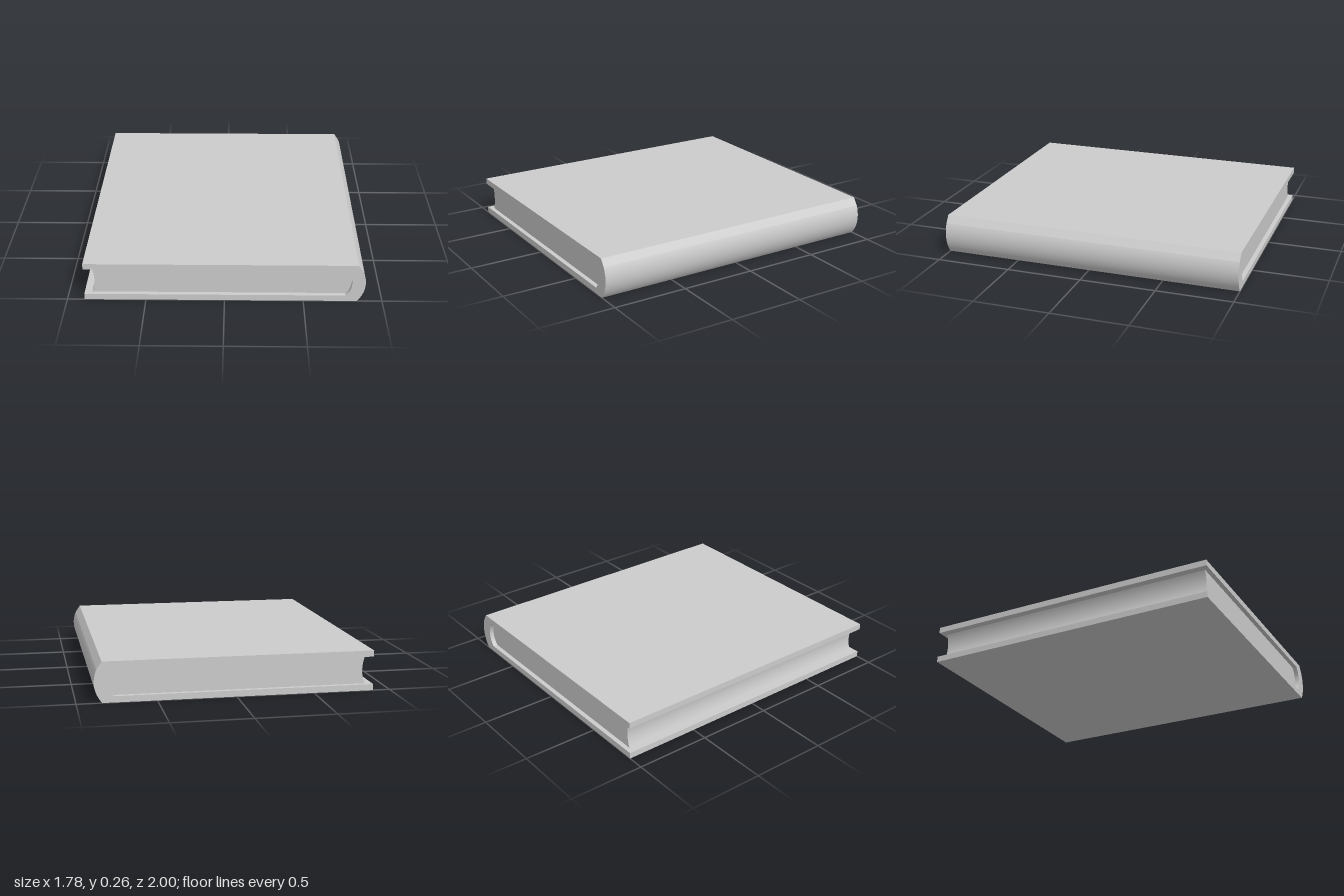
import * as THREE from 'three';
import { toCreasedNormals } from 'three/addons/utils/BufferGeometryUtils.js';

const HEIGHT = 0.26, BOARD = 0.04, HALF_LENGTH = 1, PAGE_INSET = 0.03;

// Points on a shallow arc between heights y0 and y1, bulging by `bulge` from x at mid height.
function arc(x, bulge, y0, y1, steps) {
  const mid = (y0 + y1) / 2, h = Math.abs(y1 - y0) / 2;
  const r = (h * h + bulge * bulge) / (2 * bulge);
  const a = Math.asin(h / r), dir = Math.sign(y1 - y0);
  return Array.from({ length: steps + 1 }, (_, i) => {
    const t = a * (2 * i / steps - 1);
    return new THREE.Vector2(x + bulge - r + r * Math.cos(t), mid + dir * r * Math.sin(t));
  });
}

// Run a profile along z and keep its corners sharp.
function prism(name, points, halfLength, material) {
  const geometry = new THREE.ExtrudeGeometry(new THREE.Shape(points), {
    depth: halfLength * 2, bevelEnabled: false, steps: 1,
  });
  geometry.translate(0, 0, -halfLength);
  const mesh = new THREE.Mesh(toCreasedNormals(geometry, 0.12), material);
  mesh.name = name;
  return mesh;
}

export function createModel() {
  const grey = new THREE.MeshStandardMaterial({ color: 0xcccccc });
  grey.name = 'light grey';
  const book = new THREE.Group();
  book.name = 'book';
  const v = (x, y) => new THREE.Vector2(x, y);
  const low = BOARD, high = HEIGHT - BOARD;

  // Cover: two boards joined by a rounded spine with one flat facet at its top edge
  const spine = arc(0.84, 0.05, 0, HEIGHT, 24).filter((p) => p.y < 0.218);
  const cover = [
    v(-0.89, 0), ...spine, v(0.84, HEIGHT), v(-0.89, HEIGHT),
    v(-0.89, high), ...arc(0.767, 0.038, high, low, 24), v(-0.89, low),
  ];
  book.add(prism('cover', cover, HALF_LENGTH, grey));

  // Pages: rounded against the spine, hollow at the open edge
  const pages = [
    ...arc(0.767, 0.038, low, high, 24),
    ...arc(-0.842, 0.018, high, low, 16),
  ];
  book.add(prism('pages', pages, HALF_LENGTH - PAGE_INSET, grey));

  return book;
}
